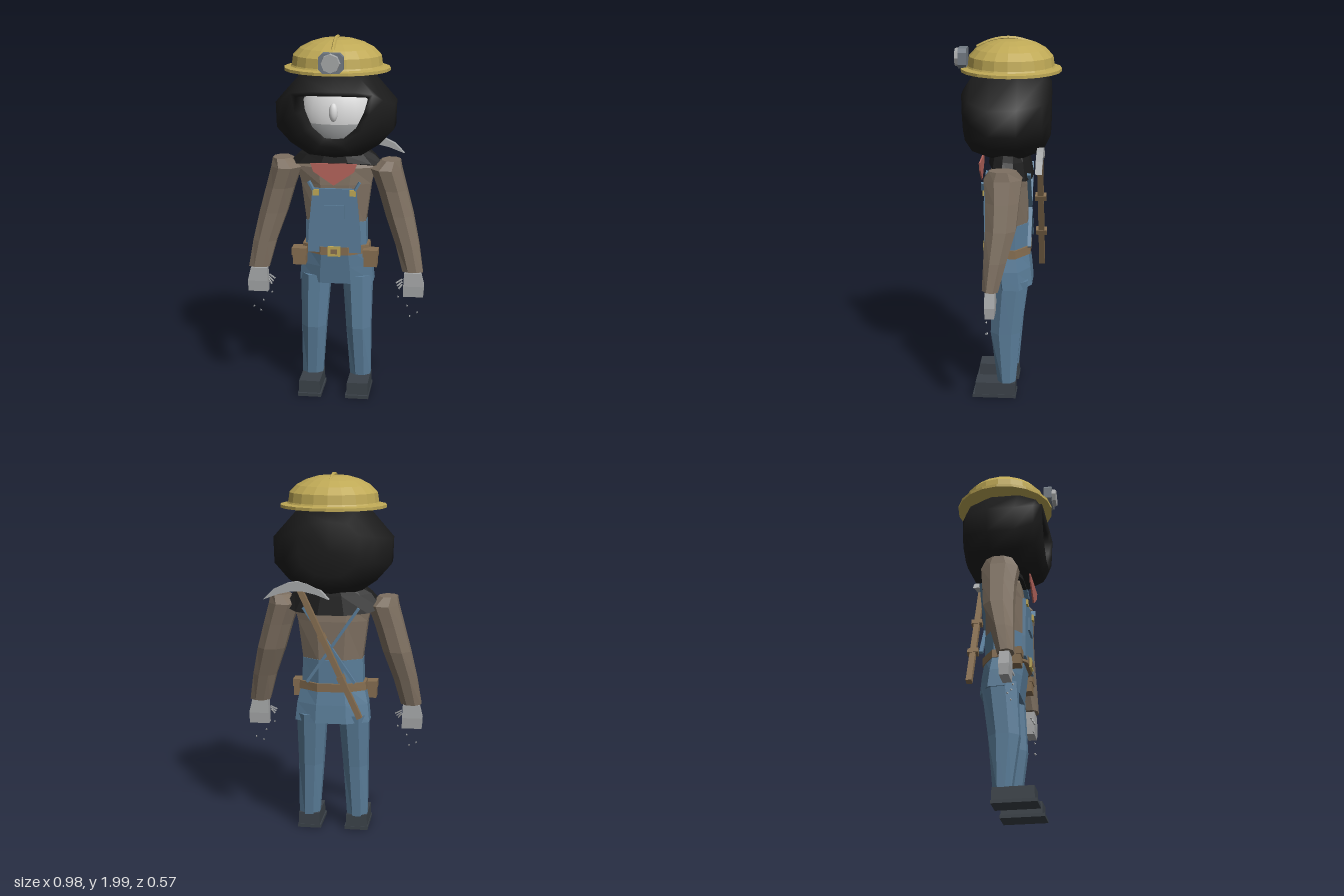
import * as THREE from 'three';

const mat = (name, color) => Object.assign(new THREE.MeshStandardMaterial({ color }), { name });

export function createModel() {
  const M = {
    yellow: mat('helmetYellow', 0xbfa956), black: mat('hoodBlack', 0x1c1c1c),
    skin: mat('paleSkin', 0xdcdcdc), red: mat('scarfRed', 0xb5645c),
    shirt: mat('shirtBrown', 0x7e7061), denim: mat('denimBlue', 0x5a7d99),
    leather: mat('leatherBrown', 0x856d50), steel: mat('steelGrey', 0xa6a8a9),
    boot: mat('bootCharcoal', 0x3a4148), slate: mat('lampSlate', 0x727a83),
  };
  const root = new THREE.Group();

  const add = (name, geo, material, x = 0, y = 0, z = 0) => {
    const m = new THREE.Mesh(geo, material);
    m.name = name;
    m.position.set(x, y, z);
    root.add(m);
    return m;
  };
  const flat = (geo) => {
    const g = geo.index ? geo.toNonIndexed() : geo;
    g.computeVertexNormals();
    return g;
  };
  const box = (name, w, h, d, material, x, y, z) =>
    add(name, new THREE.BoxGeometry(w, h, d), material, x, y, z);
  // Bar of rectangular section between two points
  const bar = (name, a, b, w, d, material) => {
    const p = new THREE.Vector3(...a), q = new THREE.Vector3(...b);
    const m = box(name, w, d, p.distanceTo(q), material, 0, 0, 0);
    m.position.copy(p).add(q).multiplyScalar(0.5);
    m.lookAt(q);
    return m;
  };
  // Skin a list of rings with equal point counts and cap both ends
  const loft = (rings) => {
    const n = rings[0].length, pos = [], idx = [];
    rings.forEach((r) => r.forEach((p) => pos.push(...p)));
    for (let i = 0; i < rings.length - 1; i++) {
      for (let j = 0; j < n; j++) {
        const a = i * n + j, b = i * n + (j + 1) % n, c = b + n, d = a + n;
        idx.push(a, d, c, a, c, b);
      }
    }
    [0, rings.length - 1].forEach((k) => {
      const c = pos.length / 3;
      pos.push(...[0, 1, 2].map((e) => rings[k].reduce((s, p) => s + p[e], 0) / n));
      for (let j = 0; j < n; j++) {
        const a = k * n + j, b = k * n + (j + 1) % n;
        idx.push(c, k ? b : a, k ? a : b);
      }
    });
    const g = new THREE.BufferGeometry();
    g.setAttribute('position', new THREE.Float32BufferAttribute(pos, 3));
    g.setIndex(idx);
    g.computeVertexNormals();
    return g;
  };
  // Horizontal ring: centre, half width, half depth, slope along z
  const ring = (cx, y, cz, rx, rz, n = 8, tilt = 0) => Array.from({ length: n }, (_, j) => {
    const a = (j + 0.5) / n * Math.PI * 2, k = 1 / Math.cos(Math.PI / n);
    const z = cz + Math.sin(a) * rz * k;
    return [cx + Math.cos(a) * rx * k, y + tilt * z, z];
  });
  const body = (name, rings, material) => add(name, flat(loft(rings.map((r) => ring(...r)))), material);
  const plate = (name, pts, depth, material, z) => add(name, new THREE.ExtrudeGeometry(
    new THREE.Shape(pts.map((p) => new THREE.Vector2(...p))),
    { depth, bevelEnabled: false }), material, 0, 0, z);

  // Helmet with brim, crest and lamp
  const profile = [[0, 1.81], [0.286, 1.81], [0.286, 1.826], [0.25, 1.832], [0.245, 1.84], [0.238, 1.89],
    [0.2, 1.928], [0.145, 1.957], [0.085, 1.975], [0, 1.982]].map((p) => new THREE.Vector2(...p));
  add('helmet', flat(new THREE.LatheGeometry(profile, 20)), M.yellow, 0, 0, -0.022).scale.z = 0.945;
  const crest = new THREE.QuadraticBezierCurve3(new THREE.Vector3(0, 1.935, 0.16),
    new THREE.Vector3(0, 2.034, -0.01), new THREE.Vector3(0, 1.935, -0.175));
  add('helmetCrest', flat(new THREE.TubeGeometry(crest, 10, 0.01, 6)), M.yellow);
  plate('lampCase', [[-0.065, 1.845], [-0.045, 1.825], [0.045, 1.825], [0.065, 1.845], [0.065, 1.91],
    [0.045, 1.93], [-0.045, 1.93], [-0.065, 1.91]], 0.045, M.slate, 0.212);
  add('lampLens', flat(new THREE.CylinderGeometry(0.048, 0.052, 0.025, 8)), M.steel, 0, 1.878, 0.265)
    .rotation.x = Math.PI / 2;

  // Hood: half outlines from crown to chin, lofted from the back to the recessed opening
  const outlines = [
    [-0.235, [0, 1.75], [0.1, 1.74], [0.16, 1.68], [0.16, 1.58], [0.14, 1.52], [0.07, 1.47], [0, 1.46]],
    [-0.2, [0, 1.8], [0.13, 1.79], [0.245, 1.67], [0.24, 1.54], [0.2, 1.46], [0.1, 1.4], [0, 1.39]],
    [-0.07, [0, 1.85], [0.17, 1.82], [0.32, 1.65], [0.315, 1.51], [0.24, 1.425], [0.14, 1.355], [0, 1.33]],
    [0.08, [0, 1.84], [0.17, 1.815], [0.318, 1.645], [0.313, 1.51], [0.24, 1.43], [0.14, 1.365], [0, 1.35]],
    [0.18, [0, 1.79], [0.15, 1.785], [0.265, 1.68], [0.265, 1.57], [0.21, 1.47], [0.1, 1.39], [0, 1.385]],
    [0.222, [0, 1.725], [0.12, 1.725], [0.215, 1.715], [0.195, 1.61], [0.15, 1.515], [0.065, 1.44], [0, 1.435]],
    [0.205, [0, 1.7], [0.1, 1.7], [0.19, 1.697], [0.165, 1.61], [0.12, 1.52], [0.05, 1.463], [0, 1.46]],
    [0.05, [0, 1.7], [0.1, 1.7], [0.18, 1.69], [0.16, 1.61], [0.115, 1.52], [0.05, 1.463], [0, 1.46]],
  ];
  add('hood', loft(outlines.map(([z, ...half]) => [
    ...half.map(([x, y]) => [x, y, z]),
    ...half.slice(1, -1).reverse().map(([x, y]) => [-x, y, z]),
  ])), M.black);
  body('cape', [[0, 1.29, -0.025, 0.268, 0.118, 12, 0.35], [0, 1.355, -0.02, 0.21, 0.105, 12, 0.1],
    [0, 1.42, -0.02, 0.13, 0.09, 12]], M.black);

  // Face
  const split = 1.752;
  add('face', new THREE.SphereGeometry(1, 20, 10, 0, Math.PI * 2, 0, split), M.skin, 0, 1.58, 0)
    .scale.set(0.2, 0.22, 0.15);
  add('beard', new THREE.SphereGeometry(1, 20, 8, 0, Math.PI * 2, split, Math.PI - split), M.steel, 0, 1.58, 0)
    .scale.set(0.2, 0.22, 0.15);
  add('nose', new THREE.SphereGeometry(1, 12, 8), M.skin, 0, 1.605, 0.145).scale.set(0.024, 0.05, 0.026);

  // Shirt, overalls and scarf
  body('shirtBody', [[0, 0.97, -0.012, 0.16, 0.105], [0, 1.2, -0.015, 0.19, 0.105],
    [0, 1.29, -0.015, 0.215, 0.095], [0, 1.35, -0.015, 0.14, 0.08]], M.shirt);
  body('overallsWaist', [[0, 0.84, -0.01, 0.168, 0.11], [0, 0.99, -0.012, 0.165, 0.11]], M.denim);
  body('overallsHips', [[0, 0.64, -0.036, 0.205, 0.108], [0, 0.74, -0.025, 0.195, 0.11],
    [0, 0.85, -0.01, 0.17, 0.11]], M.denim);
  plate('bib', [[-0.145, 0.83], [0.145, 0.83], [0.14, 0.95], [0.118, 1.185], [-0.118, 1.185], [-0.14, 0.95]],
    0.018, M.denim, 0.096);
  box('bibPocket', 0.11, 0.075, 0.012, M.denim, 0, 1.058, 0.119);
  plate('scarf', [[-0.125, 1.33], [-0.11, 1.285], [0, 1.21], [0.11, 1.285], [0.125, 1.33]], 0.008, M.red, 0.134);

  // Belt
  body('belt', [[0, 0.815, -0.008, 0.185, 0.125], [0, 0.86, -0.008, 0.182, 0.125]], M.leather);
  box('buckle', 0.068, 0.055, 0.012, M.yellow, 0, 0.838, 0.122);
  box('buckleCentre', 0.036, 0.026, 0.008, M.leather, 0, 0.838, 0.127);

  [-1, 1].forEach((s) => {
    // Arms and gloves
    body('sleeve', [[0.425 * s, 0.715, 0.055, 0.056, 0.042, 8, 0.1], [0.393 * s, 0.87, 0.032, 0.064, 0.06],
      [0.347 * s, 1.03, 0.006, 0.075, 0.08], [0.308 * s, 1.17, 0, 0.077, 0.087],
      [0.272 * s, 1.285, 0, 0.082, 0.1], [0.297 * s, 1.333, 0, 0.05, 0.07]], M.shirt);
    body('glove', [[0.43 * s, 0.58, 0.055, 0.055, 0.024, 4], [0.432 * s, 0.64, 0.055, 0.056, 0.028, 4],
      [0.425 * s, 0.715, 0.055, 0.045, 0.026, 4]], M.steel);
    [0, 1, 2].forEach((i) => bar('finger', [0.37 * s, 0.675 - i * 0.012, 0.06 + i * 0.008],
      [(0.335 + i * 0.008) * s, 0.655 - i * 0.014, 0.07 + i * 0.008], 0.007, 0.007, M.steel));
    [[0.35, 0.58, 0.08], [0.4, 0.53, 0.08], [0.455, 0.49, 0.07], [0.415, 0.47, 0.08]].forEach(([x, y, z]) =>
      add('chip', new THREE.TetrahedronGeometry(0.008), M.steel, x * s, y, z));

    // Legs and boots
    body('trouserLeg', [[0.135 * s, 0.08, -0.01, 0.057, 0.048], [0.125 * s, 0.38, -0.003, 0.068, 0.082],
      [0.116 * s, 0.68, -0.03, 0.082, 0.095]], M.denim);
    body('boot', [[0.134 * s, 0.02, 0.052, 0.06, 0.112, 4], [0.134 * s, 0.092, 0.052, 0.058, 0.11, 4]], M.boot);
    box('sole', 0.13, 0.018, 0.24, M.boot, 0.132 * s, 0.015, 0.057);

    // Overall straps and buckles
    box('strapButton', 0.034, 0.034, 0.012, M.yellow, 0.1 * s, 1.165, 0.118);
    bar('frontStrap', [0.112 * s, 1.18, 0.12], [0.138 * s, 1.225, 0.115], 0.025, 0.012, M.denim);
    bar('backStrap', [0.15 * s, 1.28, -0.128], [-0.13 * s, 0.87, -0.131], 0.02, 0.016, M.denim);

    // Belt pouches
    box('pouch', 0.072, 0.09, 0.07, M.leather, 0.195 * s, 0.795, 0.065);
    box('pouchFlap', 0.082, 0.04, 0.08, M.leather, 0.195 * s, 0.824, 0.065);
  });

  // Pickaxe slung on the back
  const top = [0.17, 1.41, -0.187], end = [-0.165, 0.69, -0.187];
  const at = (t) => top.map((v, i) => v + (end[i] - v) * t);
  bar('pickHandle', top, end, 0.032, 0.03, M.leather);
  [[0.37, 0.41], [0.68, 0.72]].forEach(([a, b]) => bar('pickLoop', at(a), at(b), 0.06, 0.036, M.leather));
  plate('pickHead', [[0, 1.335], [0.07, 1.362], [0.14, 1.378], [0.2, 1.378], [0.27, 1.362], [0.355, 1.33],
    [0.3, 1.385], [0.225, 1.42], [0.17, 1.43], [0.115, 1.42], [0.045, 1.385]], 0.035, M.steel, -0.207);

  return root;
}
